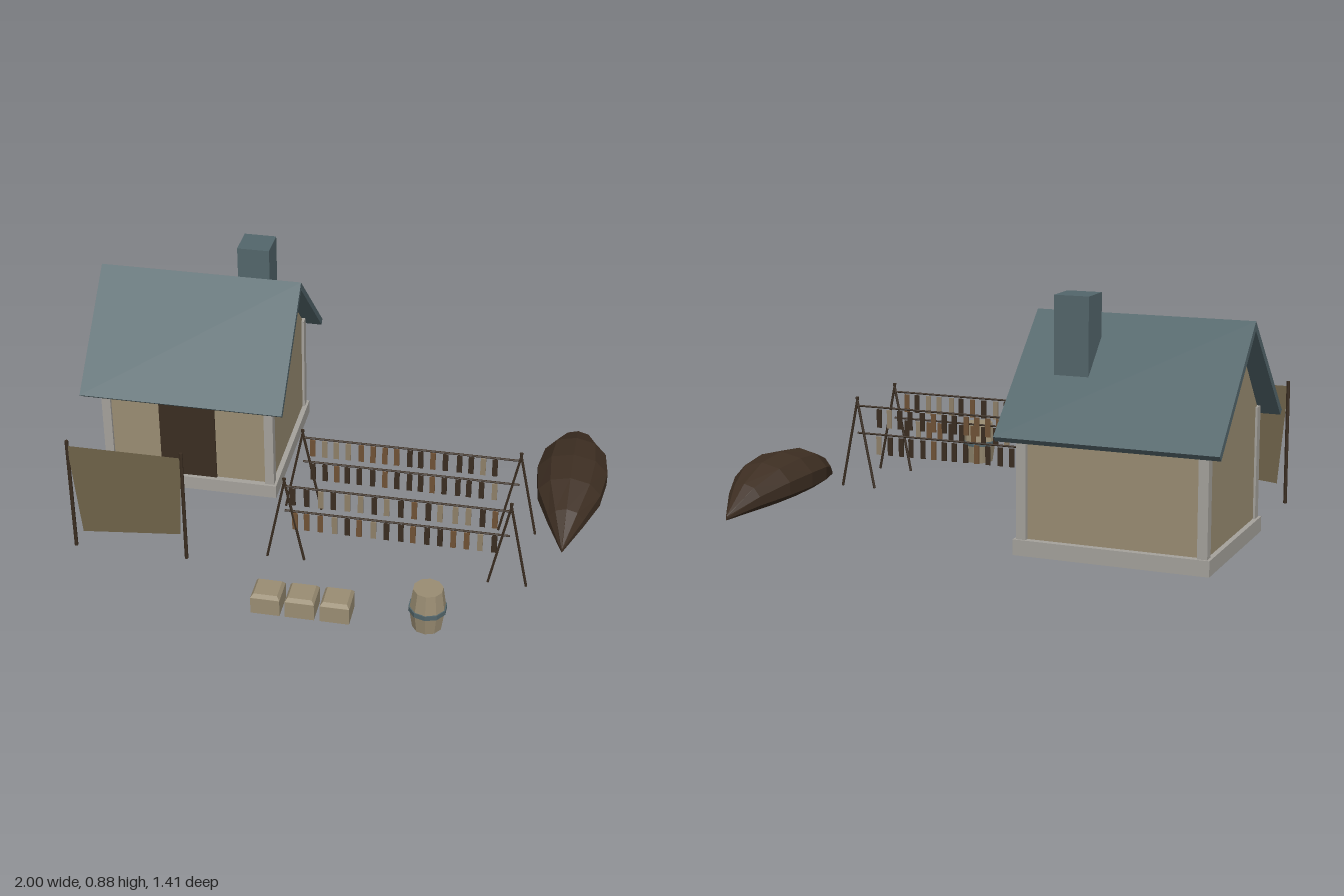
import * as THREE from 'three';

const mat = (name, color) => {
  const m = new THREE.MeshStandardMaterial({ color, flatShading: true });
  m.name = name;
  return m;
};

export function createModel() {
  const slate = mat('slate', 0x53666b);
  const plaster = mat('plaster', 0x9a8d73);
  const stone = mat('stone', 0xa5a29c);
  const wood = mat('darkWood', 0x3a2d21);
  const hull = mat('hullWood', 0x3d2e22);
  const cloth = mat('cloth', 0x6e6249);
  cloth.side = THREE.DoubleSide;
  const fishTan = mat('fishTan', 0x8f8069);
  const fishBrown = mat('fishBrown', 0x705236);

  const root = new THREE.Group();
  const group = (name, parent = root) => {
    const g = new THREE.Group();
    g.name = name;
    parent.add(g);
    return g;
  };
  const add = (parent, name, geo, material) => {
    const m = new THREE.Mesh(geo, material);
    m.name = name;
    parent.add(m);
    return m;
  };
  // box from its minimum to its maximum corner
  const box = (parent, name, [x0, y0, z0], [x1, y1, z1], material) => {
    const m = add(parent, name, new THREE.BoxGeometry(x1 - x0, y1 - y0, z1 - z0), material);
    m.position.set((x0 + x1) / 2, (y0 + y1) / 2, (z0 + z1) / 2);
    return m;
  };
  // outline of [z, y] points extruded along x
  const prism = (parent, name, pts, x0, x1, material) => {
    const shape = new THREE.Shape(pts.map(([z, y]) => new THREE.Vector2(-z, y)));
    const geo = new THREE.ExtrudeGeometry(shape, { depth: x1 - x0, bevelEnabled: false });
    geo.rotateY(Math.PI / 2);
    geo.translate(x0, 0, 0);
    return add(parent, name, geo, material);
  };
  // round stick between two points
  const stick = (parent, name, a, b, r, material) => {
    const p = new THREE.Vector3(...a), q = new THREE.Vector3(...b);
    const d = q.clone().sub(p);
    const m = add(parent, name, new THREE.CylinderGeometry(r, r, d.length(), 6), material);
    m.position.copy(p).add(q).multiplyScalar(0.5);
    m.quaternion.setFromUnitVectors(new THREE.Vector3(0, 1, 0), d.normalize());
    return m;
  };

  // House: plinth, gabled walls, corner posts
  const house = group('house');
  box(house, 'plinth', [-0.955, 0, -0.645], [-0.26, 0.055, -0.012], stone);
  prism(house, 'walls', [[-0.035, 0.05], [-0.035, 0.455], [-0.315, 0.765], [-0.62, 0.455], [-0.62, 0.05]],
    -0.937, -0.28, plaster);
  for (const x of [-0.945, -0.305])
    for (const z of [-0.637, -0.06])
      box(house, 'cornerPost', [x, 0.05, z], [x + 0.035, 0.458, z + 0.038], stone);
  box(house, 'door', [-0.72, 0.055, -0.04], [-0.5, 0.385, -0.028], wood);
  box(house, 'doorLintel', [-0.74, 0.385, -0.04], [-0.475, 0.415, -0.02], stone);

  // Roof slabs and chimney
  prism(house, 'frontRoof', [[0.063, 0.432], [-0.31, 0.8], [-0.312, 0.77], [0.045, 0.417]], -1, -0.215, slate);
  prism(house, 'backRoof', [[-0.31, 0.8], [-0.705, 0.418], [-0.688, 0.4], [-0.312, 0.765]], -1, -0.215, slate);
  box(house, 'chimney', [-0.48, 0.6, -0.51], [-0.355, 0.88, -0.385], slate);

  // Hanging cloth between two poles
  const screen = group('clothScreen');
  for (const x of [-0.93, -0.503]) stick(screen, 'pole', [x, 0, 0.423], [x, 0.47, 0.423], 0.007, wood);
  const sheet = new THREE.Shape([[-0.93, 0.45], [-0.503, 0.45], [-0.52, 0.11], [-0.895, 0.072]]
    .map(([x, y]) => new THREE.Vector2(x, y)));
  add(screen, 'cloth', new THREE.ShapeGeometry(sheet), cloth).position.z = 0.427;

  // Drying racks with rows of hanging fish
  let seed = 7;
  const rand = () => (seed = (seed * 16807) % 2147483647) / 2147483647;
  const fishMats = [wood, fishBrown, fishTan, wood];
  [[0.35, 0.049], [0.027, 0.0465]].forEach(([z, step]) => {
    const rack = group('dryingRack');
    for (const x of [-0.142, 0.683])
      for (const s of [-1, 1])
        stick(rack, 'leg', [x + s * 0.07, 0, z], [x - s * 0.003, 0.36, z], 0.005, wood);
    for (const y of [0.325, 0.217]) {
      stick(rack, 'rail', [-0.142, y, z], [0.683, y, z], 0.004, wood);
      for (let i = 0; i < 16; i++) {
        const x = -0.107 + i * step + (rand() - 0.5) * 0.008;
        const m = fishMats[Math.floor(rand() * 4)];
        box(rack, 'fish', [x - 0.01, y - 0.08, z - 0.003], [x + 0.01, y - 0.008, z + 0.003], m);
      }
    }
  });

  // Overturned boat: one cross-section scaled along its length
  const section = [[0, 0], [0.07, 0.012], [0.135, 0.052], [0.135, 0.105], [0.085, 0.157], [0, 0.176],
    [-0.085, 0.157], [-0.135, 0.105], [-0.135, 0.052], [-0.07, 0.012]];
  const stations = [[-0.395, 0.03, 0.1], [-0.27, 0.49, 0.62], [-0.14, 0.88, 0.92], [0, 1, 1],
    [0.14, 0.88, 0.92], [0.27, 0.49, 0.62], [0.395, 0.03, 0.1]];
  const pos = [], idx = [], n = section.length;
  stations.forEach(([z, w, h], i) => {
    section.forEach(([x, y], j) => {
      pos.push(x * w, 0.009 + y * h, z);
      if (i === stations.length - 1) return;
      const a = i * n + j, b = i * n + (j + 1) % n;
      idx.push(a, b, b + n, a, b + n, a + n);
    });
  });
  const last = (stations.length - 1) * n;
  for (let j = 1; j < n - 1; j++) idx.push(0, j + 1, j, last, last + j, last + j + 1);
  const hullGeo = new THREE.BufferGeometry();
  hullGeo.setAttribute('position', new THREE.Float32BufferAttribute(pos, 3));
  hullGeo.setIndex(idx);
  const flatHull = hullGeo.toNonIndexed();
  flatHull.computeVertexNormals();
  add(root, 'boat', flatHull, hull).position.set(0.863, 0, -0.26);

  // Barrel with a metal band
  const barrel = group('barrel');
  barrel.position.set(0.433, 0, 0.635);
  const lathe = (pts) => new THREE.LatheGeometry(pts.map(([r, y]) => new THREE.Vector2(r, y)), 10);
  add(barrel, 'staves', lathe([[0, 0], [0.054, 0], [0.066, 0.08], [0.054, 0.165], [0, 0.165]]), plaster);
  add(barrel, 'band', lathe([[0.06, 0.072], [0.069, 0.072], [0.069, 0.09], [0.06, 0.09]]), slate);

  // Row of crates with bevelled lids
  for (const x of [-0.143, -0.018, 0.109]) {
    const crate = group('crate');
    box(crate, 'crateBody', [x - 0.053, 0, 0.58], [x + 0.053, 0.066, 0.688], plaster);
    const lid = new THREE.CylinderGeometry(0.043 * Math.SQRT2, 0.053 * Math.SQRT2, 0.014, 4);
    lid.rotateY(Math.PI / 4);
    add(crate, 'crateLid', lid, plaster).position.set(x, 0.073, 0.634);
  }

  return root;
}
